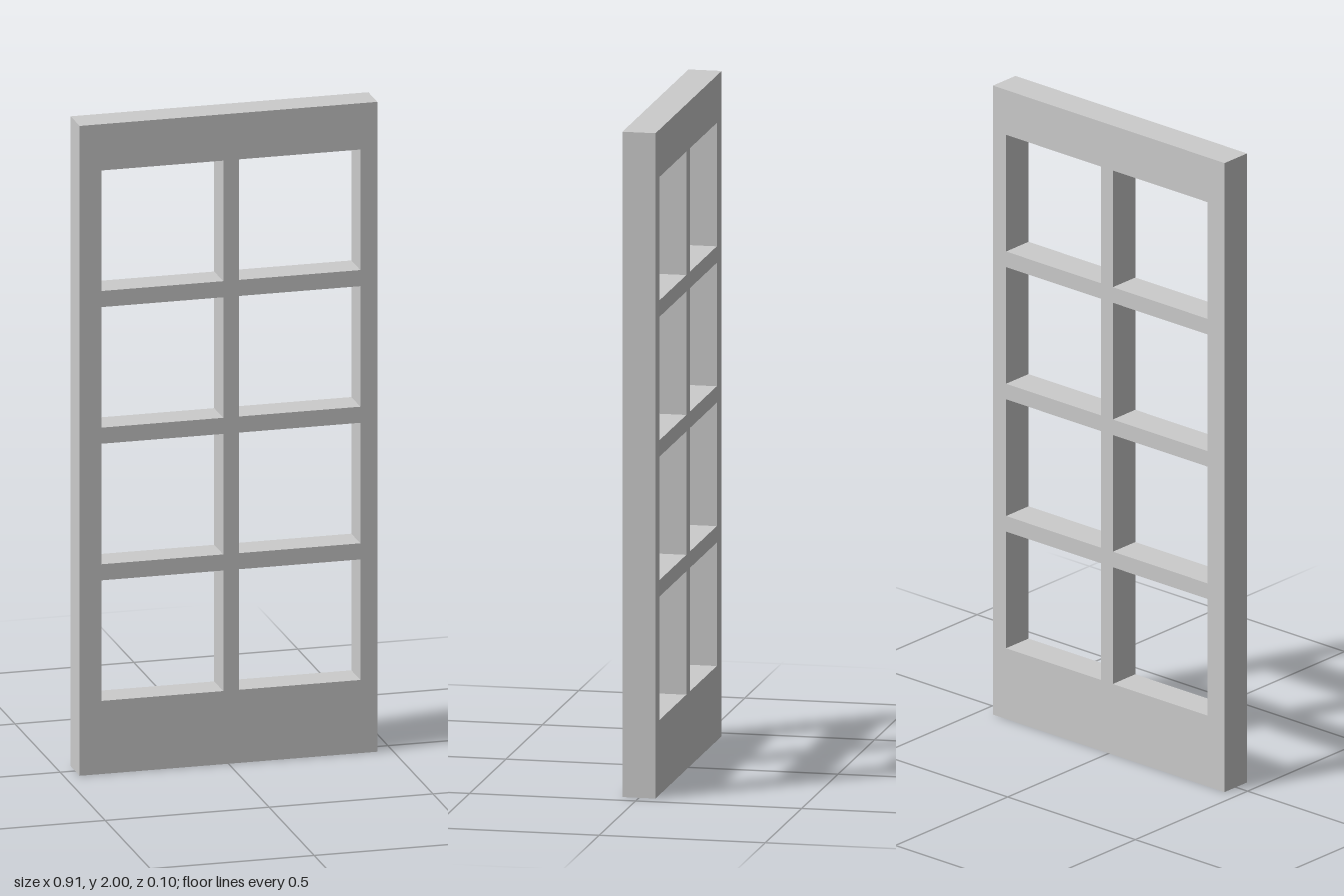
import * as THREE from 'three';

const WIDTH = 0.908, HEIGHT = 2, DEPTH = 0.1;
const PANE = 0.371, PITCH = 0.4205; // square openings and their spacing
const COLUMNS = 2, ROWS = 4;
const FIRST_X = -0.387, FIRST_Y = 0.225; // lower corner of the first opening

// Adds a rectangle to a shape or path
function rectangle(path, x, y, w, h) {
  path.moveTo(x, y);
  path.lineTo(x + w, y);
  path.lineTo(x + w, y + h);
  path.lineTo(x, y + h);
  path.closePath();
  return path;
}

export function createModel() {
  const group = new THREE.Group();
  group.name = 'door';

  // Solid door leaf with a grid of square openings
  const leaf = rectangle(new THREE.Shape(), -WIDTH / 2, 0, WIDTH, HEIGHT);
  for (let row = 0; row < ROWS; row++) {
    for (let col = 0; col < COLUMNS; col++) {
      leaf.holes.push(rectangle(new THREE.Path(),
        FIRST_X + col * PITCH * 0.995, FIRST_Y + row * PITCH, PANE, PANE));
    }
  }
  const geometry = new THREE.ExtrudeGeometry(leaf, { depth: DEPTH, bevelEnabled: false });
  geometry.translate(0, 0, -DEPTH / 2);

  const frame = new THREE.Mesh(geometry, new THREE.MeshStandardMaterial({ color: 0xcccccc }));
  frame.name = 'doorFrame';
  group.add(frame);
  return group;
}
